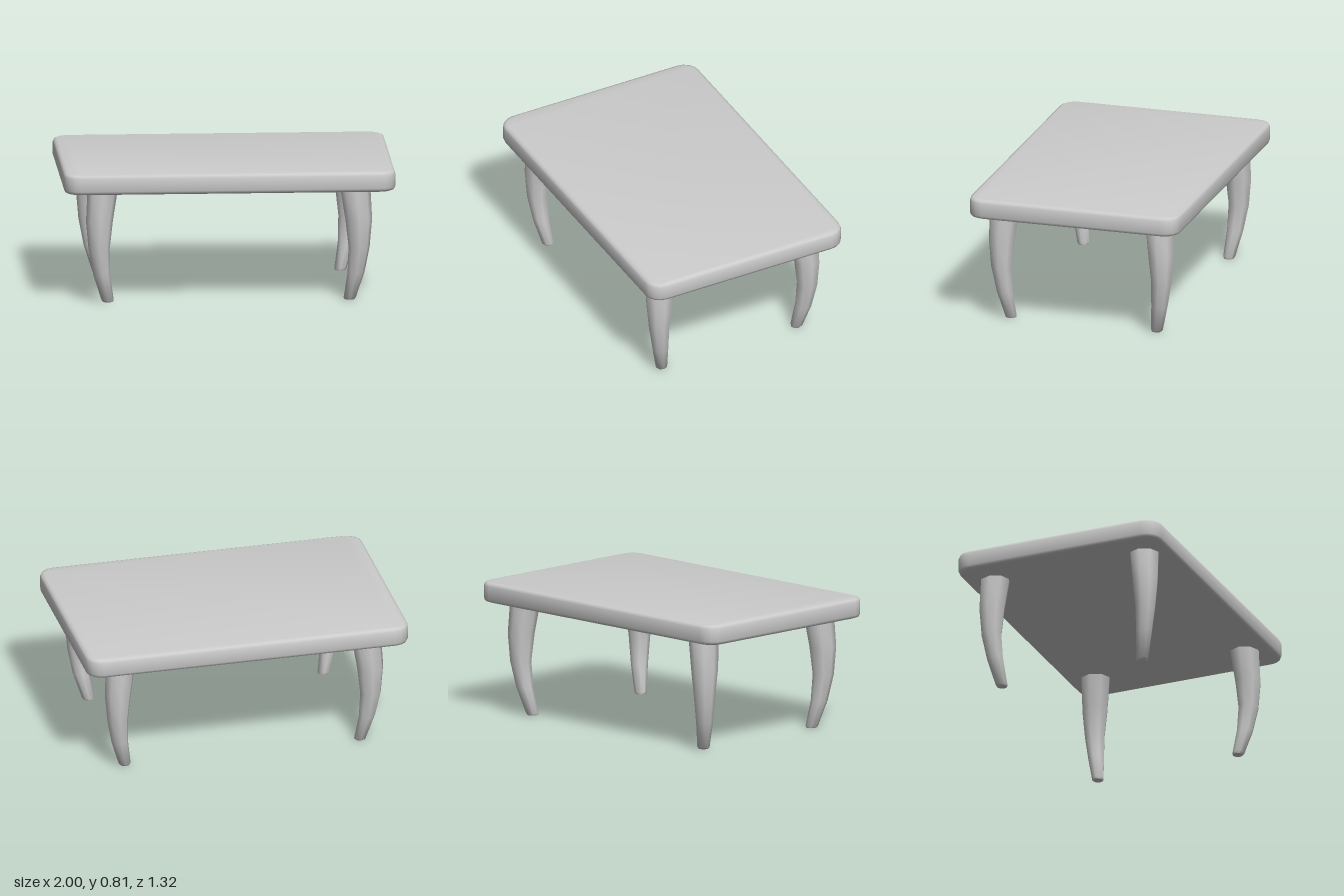
import * as THREE from 'three';
import { mergeVertices, toCreasedNormals } from 'three/addons/utils/BufferGeometryUtils.js';

const material = new THREE.MeshStandardMaterial({ color: 0xcccccc });

// Rectangular slab with rounded corners and softly bevelled edges
function createTop() {
  const w = 1, d = 0.662, r = 0.098, bottom = 0.69, thickness = 0.122, bevel = 0.022;
  const shape = new THREE.Shape();
  shape.absarc(w - r, d - r, r, 0, Math.PI / 2);
  shape.absarc(r - w, d - r, r, Math.PI / 2, Math.PI);
  shape.absarc(r - w, r - d, r, Math.PI, Math.PI * 1.5);
  shape.absarc(w - r, r - d, r, Math.PI * 1.5, Math.PI * 2);
  shape.closePath();
  const geometry = new THREE.ExtrudeGeometry(shape, {
    depth: thickness - 2 * bevel, curveSegments: 2, bevelEnabled: true,
    bevelThickness: bevel, bevelSize: bevel, bevelOffset: -bevel, bevelSegments: 2,
  });
  geometry.rotateX(-Math.PI / 2).translate(0, bottom + bevel, 0);
  const top = new THREE.Mesh(toCreasedNormals(geometry, 0.9), material);
  top.name = 'tableTop';
  return top;
}

// Leg rings from foot to top: height, radius, centre x, centre z
const RINGS = [
  [0, 0, 0.729, 0.459],
  [0, 0.031, 0.729, 0.459],
  [0.01, 0.037, 0.731, 0.461],
  [0.17, 0.051, 0.768, 0.488],
  [0.33, 0.064, 0.785, 0.505],
  [0.5, 0.081, 0.783, 0.503],
  [0.7, 0.092, 0.762, 0.489],
];

// Tapered octagonal leg, bowed outwards towards its corner
function createLeg(sx, sz) {
  const profile = RINGS.map(([y, r]) => new THREE.Vector2(r, y));
  const lathe = new THREE.LatheGeometry(profile, 8);
  const pos = lathe.attributes.position;
  for (let i = 0; i < pos.count; i++) {
    const [, , cx, cz] = RINGS[i % RINGS.length];
    pos.setX(i, pos.getX(i) + sx * cx);
    pos.setZ(i, pos.getZ(i) + sz * cz);
  }
  lathe.deleteAttribute('normal');
  lathe.deleteAttribute('uv');
  return new THREE.Mesh(toCreasedNormals(mergeVertices(lathe), 0.9), material);
}

export function createModel() {
  const table = new THREE.Group();
  table.name = 'table';
  table.add(createTop());
  for (const sx of [-1, 1]) {
    for (const sz of [-1, 1]) {
      const leg = createLeg(sx, sz);
      leg.name = (sz > 0 ? 'front' : 'back') + (sx > 0 ? 'Left' : 'Right') + 'Leg';
      table.add(leg);
    }
  }
  return table;
}
